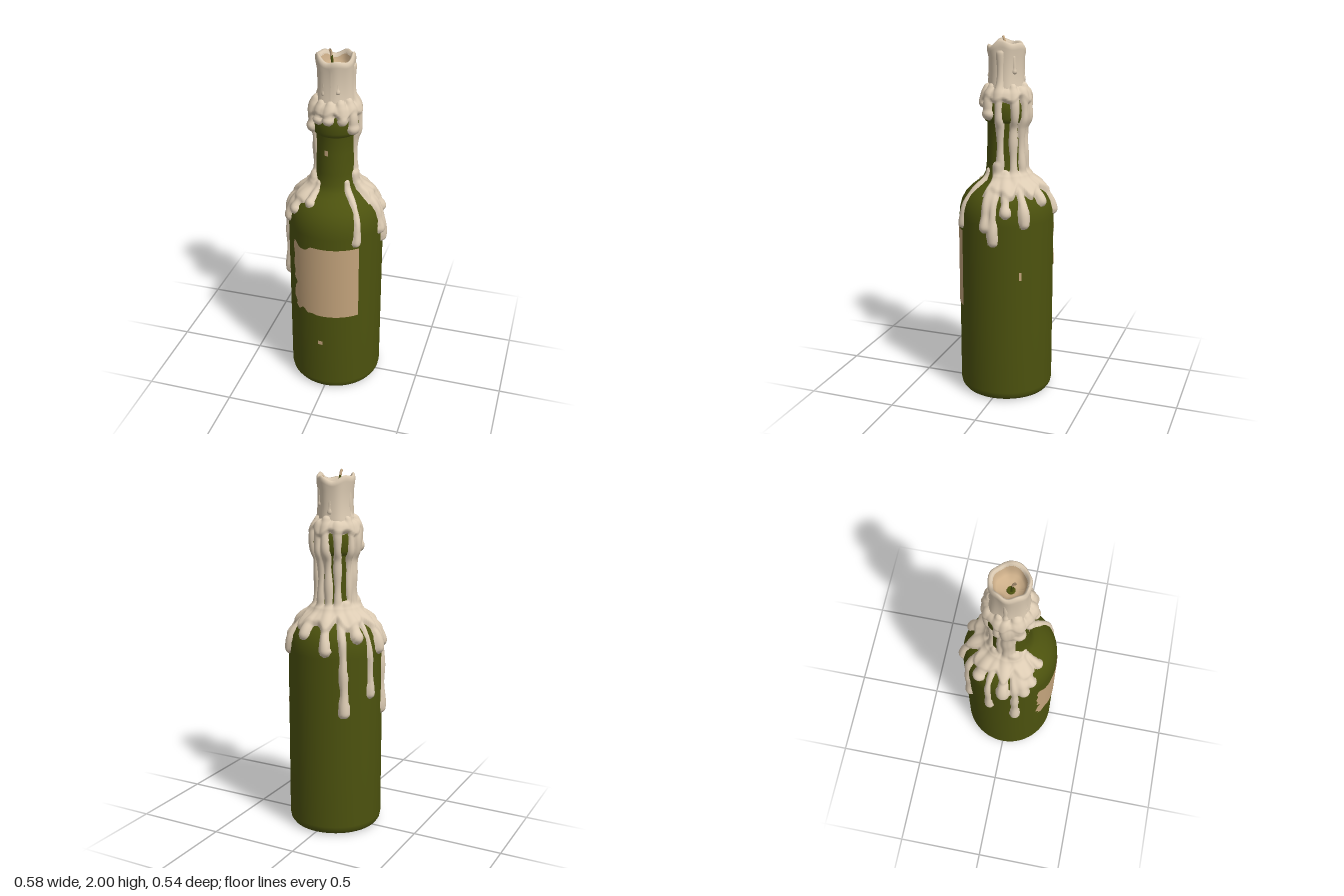
import * as THREE from 'three';

const mat = (name, color, side = THREE.FrontSide) => {
  const m = new THREE.MeshStandardMaterial({ color, side });
  m.name = name;
  return m;
};
const v2 = ([x, y]) => new THREE.Vector2(x, y);
const rad = THREE.MathUtils.degToRad;
const step = THREE.MathUtils.smoothstep;

export function createModel() {
  const group = new THREE.Group();
  const glass = mat('green glass', 0x4c520e);
  const wax = mat('cream wax', 0xdccbb3);
  const paper = mat('tan paper', 0xc4a47c, THREE.DoubleSide);
  const pool = mat('melted wax', 0xceb08a, THREE.DoubleSide);

  const add = (name, geometry, material) => {
    const mesh = new THREE.Mesh(geometry, material);
    mesh.name = name;
    group.add(mesh);
    return mesh;
  };

  // Bottle: base, body, shoulder, neck and lip
  add('bottle', new THREE.LatheGeometry([
    [0, 0.012], [0.2, 0.01], [0.225, 0], [0.245, 0.008], [0.257, 0.025], [0.262, 0.05],
    [0.262, 0.4], [0.262, 1.02], [0.258, 1.07], [0.246, 1.115], [0.225, 1.153], [0.195, 1.185],
    [0.16, 1.212], [0.13, 1.235], [0.114, 1.27], [0.107, 1.33], [0.104, 1.45], [0.104, 1.545],
    [0.116, 1.553], [0.126, 1.575], [0.128, 1.62], [0.124, 1.655], [0.11, 1.672], [0, 1.675],
  ].map(v2), 64), glass);

  // Candle with an uneven rim and a hollow, melted top
  const wobbleRim = (geometry) => {
    const p = geometry.attributes.position;
    for (let i = 0; i < p.count; i++) {
      const a = Math.atan2(p.getX(i), p.getZ(i));
      const k = step(p.getY(i), 1.88, 1.95);
      p.setY(i, p.getY(i) + k * (0.014 * Math.cos(2 * a + 2.6) + 0.009 * Math.sin(5 * a)));
      const s = 1 + 0.03 * Math.sin(3 * a + p.getY(i) * 9) + 0.02 * Math.sin(7 * a);
      p.setX(i, p.getX(i) * s);
      p.setZ(i, p.getZ(i) * s);
    }
    geometry.computeVertexNormals();
    return geometry;
  };
  add('candle', wobbleRim(new THREE.LatheGeometry([
    [0.115, 1.64], [0.112, 1.7], [0.1, 1.75], [0.096, 1.82], [0.097, 1.89], [0.104, 1.93],
    [0.103, 1.95], [0.095, 1.962], [0.086, 1.957], [0.08, 1.94],
  ].map(v2), 48)), wax);
  add('candleHollow', wobbleRim(new THREE.LatheGeometry([
    [0.081, 1.943], [0.076, 1.915], [0.065, 1.892], [0.04, 1.88], [0, 1.877],
  ].map(v2), 48)), pool);

  // Wick and the dark patch round its foot
  const wickTube = (points) => new THREE.TubeGeometry(
    new THREE.CatmullRomCurve3(points.map((p) => new THREE.Vector3(...p))), 8, 0.007, 8);
  add('wickFoot', new THREE.CylinderGeometry(0.02, 0.022, 0.008, 10), glass).position.set(-0.008, 1.882, 0.005);
  add('wickLower', wickTube([[-0.012, 1.87, 0.008], [-0.015, 1.92, 0.012], [-0.02, 1.965, 0.016]]), glass);
  add('wickTip', wickTube([[-0.02, 1.96, 0.016], [-0.021, 1.98, 0.02], [-0.024, 1.995, 0.028]]), pool);

  // Path that the running wax follows, from candle top to bottle side
  const path = new THREE.CatmullRomCurve3([
    [0.092, 1.93], [0.092, 1.84], [0.096, 1.76], [0.113, 1.71], [0.126, 1.67], [0.13, 1.62],
    [0.127, 1.57], [0.108, 1.52], [0.104, 1.42], [0.108, 1.32], [0.116, 1.26], [0.135, 1.232],
    [0.195, 1.187], [0.245, 1.115], [0.262, 1.02], [0.262, 0.85], [0.262, 0.62],
  ].map(([r, y]) => new THREE.Vector3(r, y, 0)), false, 'centripetal');
  const ROWS = 170, COLS = 180;
  path.arcLengthDivisions = 600;
  const line = path.getSpacedPoints(ROWS);
  const gap = path.getLength() / ROWS;
  const rowAt = (y) => Math.max(0, line.findIndex((p) => p.y <= y));

  // Drips: start angle, end angle (degrees from the front), top, bottom, radius
  const drips = [
    [48, 41, 1.29, 1.0, 0.024], [82, 83, 1.32, 1.02, 0.03], [88, 93, 1.92, 0.94, 0.027],
    [106, 108, 1.28, 1.1, 0.03], [130, 131, 1.74, 1.04, 0.029], [158, 162, 1.72, 1.14, 0.03],
    [178, 195, 1.74, 1.07, 0.029], [212, 218, 1.72, 0.72, 0.027], [236, 236, 1.28, 1.13, 0.035],
    [248, 254, 1.74, 0.81, 0.024], [270, 272, 1.72, 1.05, 0.032], [285, 287, 1.72, 0.69, 0.027],
    [292, 298, 1.3, 1.07, 0.034], [302, 309, 1.28, 1.13, 0.03], [322, 331, 1.27, 1.19, 0.026],
    // short runs on candle and lip
    [0, 357, 1.73, 1.655, 0.027], [30, 32, 1.73, 1.66, 0.028], [58, 60, 1.74, 1.6, 0.032],
    [300, 302, 1.74, 1.6, 0.034], [330, 330, 1.73, 1.66, 0.028], [20, 22, 1.9, 1.8, 0.014],
    [335, 332, 1.92, 1.78, 0.015], [190, 188, 1.92, 1.78, 0.015], [265, 268, 1.92, 1.75, 0.016],
    [135, 138, 1.9, 1.82, 0.014],
  ].map(([a0, a1, y0, y1, R]) => ({
    a0: rad(a0), turn: Math.atan2(Math.sin(rad(a1 - a0)), Math.cos(rad(a1 - a0))),
    s0: rowAt(y0) * gap, s1: rowAt(y1) * gap, R,
  }));

  // Wax thickness at a point of the path
  const thickness = (a, row) => {
    const { x: r, y } = line[row];
    const s = row * gap;
    let sum = 0;
    for (const d of drips) {
      const t = THREE.MathUtils.clamp((s - d.s0) / (d.s1 - d.s0), 0, 1);
      const da = a - d.a0 - d.turn * t;
      const across = r * Math.atan2(Math.sin(da), Math.cos(da));
      const along = s - d.s0 - t * (d.s1 - d.s0);
      const R = d.R * (0.85 + 0.1 * Math.sin(s * 31 + d.a0 * 5) + 0.3 * step(t, 0.8, 1));
      const h = R * R - across * across - along * along;
      if (h > 0) sum += h ** 1.5;
    }
    // sheet over the shoulder, open at the front
    const deg = THREE.MathUtils.radToDeg(a);
    const edge = 1.165 + 0.018 * Math.sin(a * 9) + 0.012 * Math.sin(a * 14 + 1);
    const sheet = 0.03 * step(y, edge, edge + 0.025) * (1 - step(y, 1.25, 1.31))
      * step(deg, 68, 80) * (1 - step(deg, 312, 326));
    // collar where the candle sits on the lip
    const low = 1.66 + 0.012 * Math.sin(a * 8) + 0.008 * Math.sin(a * 5 + 2);
    const collar = 0.024 * step(y, low, low + 0.02) * (1 - step(y, 1.7, 1.76));
    return Math.cbrt(sum + sheet ** 3 + collar ** 3);
  };

  // Wax skin: the path swept round and pushed out by the thickness
  const pos = [], index = [], thick = [];
  for (let i = 0; i <= ROWS; i++) {
    const p = line[i], before = line[Math.max(0, i - 1)], after = line[Math.min(ROWS, i + 1)];
    const n = new THREE.Vector2(before.y - after.y, after.x - before.x).normalize();
    for (let j = 0; j < COLS; j++) {
      const a = (j / COLS) * Math.PI * 2;
      const t = thickness(a, i);
      thick.push(t);
      const r = p.x + n.x * (t - 0.008);
      pos.push(r * Math.sin(a), p.y + n.y * (t - 0.008), r * Math.cos(a));
    }
  }
  for (let i = 0; i < ROWS; i++) {
    for (let j = 0; j < COLS; j++) {
      const k = (j + 1) % COLS;
      const q = [i * COLS + j, i * COLS + k, (i + 1) * COLS + j, (i + 1) * COLS + k];
      if (q.some((v) => thick[v] > 0.004)) index.push(q[0], q[2], q[1], q[1], q[2], q[3]);
    }
  }
  const skin = new THREE.BufferGeometry();
  skin.setAttribute('position', new THREE.Float32BufferAttribute(pos, 3));
  skin.setIndex(index);
  skin.computeVertexNormals();
  add('waxDrips', skin, wax);

  // Curved paper patches on the glass
  const patch = (name, r, x, y, w, h, nx = 1, ny = 1, mid = 0) => {
    const half = Math.asin(w / 2 / r);
    const g = new THREE.CylinderGeometry(r, r, h, nx, ny, true, mid + Math.asin(x / r) - half, half * 2);
    return add(name, g.translate(0, y, 0), paper);
  };
  const label = patch('label', 0.2655, 0.0, 0.74, 0.37, 0.44, 40, 44).geometry;
  const lp = label.attributes.position;
  for (let i = 0; i < lp.count; i++) {
    // torn left side, frayed top and bottom
    let a = Math.atan2(lp.getX(i), lp.getZ(i));
    let y = lp.getY(i);
    const tear = 0.015 + 0.015 * Math.sin(y * 60) + 0.1 * Math.exp(-(((y - 0.69) / 0.02) ** 2))
      + 0.06 * Math.exp(-(((y - 0.54) / 0.03) ** 2));
    a += tear * step(-a, 0.3, 0.77);
    const dip = 0.03 * Math.exp(-(((a + 0.48) / 0.16) ** 4));
    y -= dip * step(y, 0.85, 0.96);
    y += (0.012 + 0.012 * Math.sin(a * 23)) * step(-a, 0.1, 0.5) * (1 - step(y, 0.52, 0.6));
    lp.setXYZ(i, 0.2655 * Math.sin(a), y, 0.2655 * Math.cos(a));
  }
  label.computeVertexNormals();
  patch('neckFleck', 0.107, -0.022, 1.455, 0.02, 0.03);
  patch('frontFleck', 0.264, -0.018, 0.33, 0.028, 0.024);
  patch('sideFleck', 0.264, 0, 0.74, 0.012, 0.045, 1, 1, rad(126));

  return group;
}
